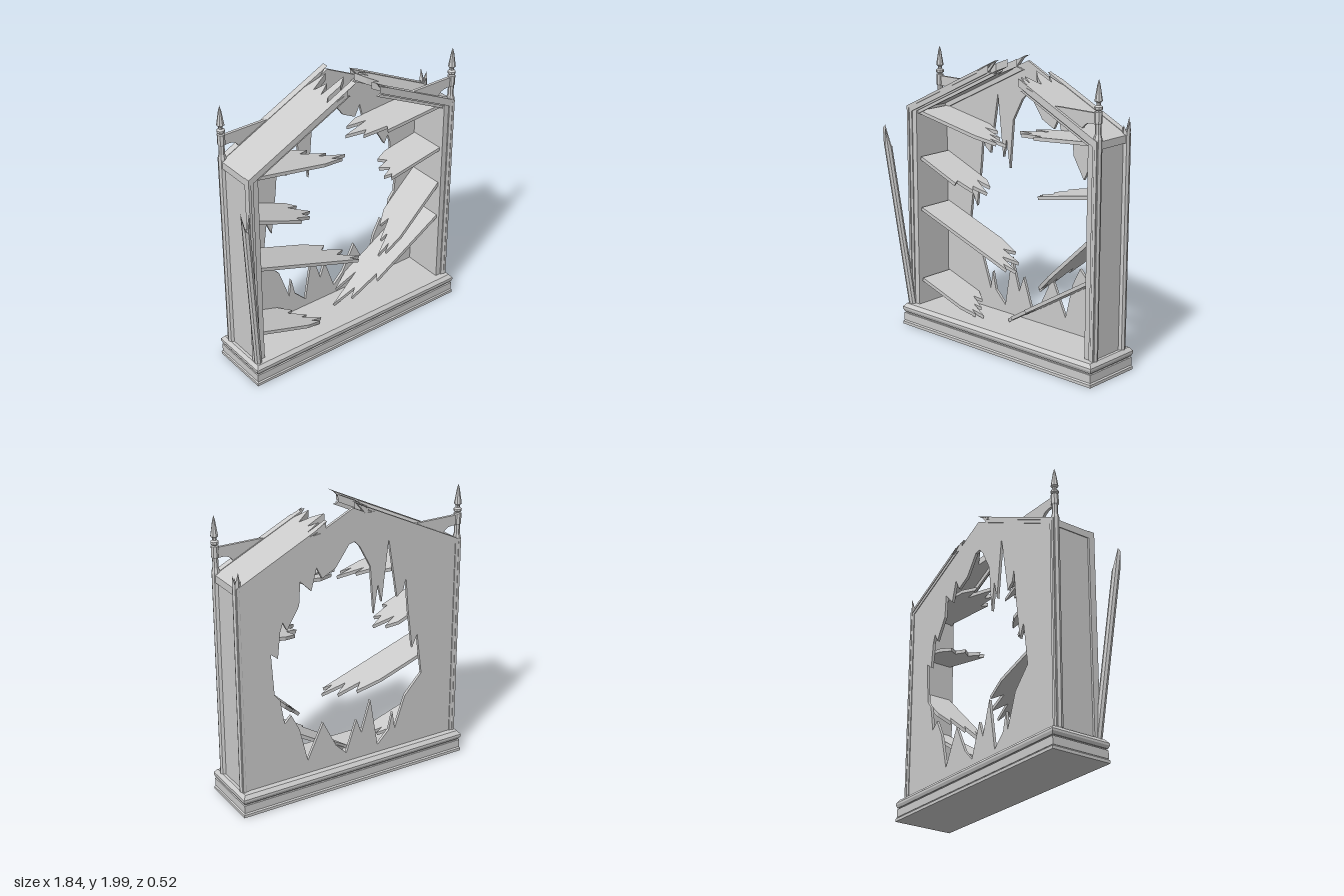
import * as THREE from 'three';

const material = new THREE.MeshStandardMaterial({ color: 0xcccccc, flatShading: true, side: THREE.DoubleSide });
const FLOOR = 0.155, HALF = 0.84, SLOPE = 0.485, BACK = -0.21, FRONT = 0.13;
const roofY = (x, inset = 0) => 1.995 - 1.11 * inset - SLOPE * Math.abs(x);

function add(parent, name, geometry, x = 0, y = 0, z = 0) {
  const mesh = new THREE.Mesh(geometry, material);
  mesh.name = name;
  mesh.position.set(x, y, z);
  parent.add(mesh);
  return mesh;
}

const toShape = pts => new THREE.Shape(pts.map(([x, y]) => new THREE.Vector2(x, y)));

// Upright slab drawn in the front plane, from z0 to z1
function slab(shape, z0, z1) {
  const g = new THREE.ExtrudeGeometry(shape, { depth: z1 - z0, bevelEnabled: false, curveSegments: 6 });
  return g.translate(0, 0, z0);
}

// Flat board drawn as [x, z], thickness measured down from y = 0
function board(pts, thickness) {
  const g = new THREE.ExtrudeGeometry(toShape(pts), { depth: thickness, bevelEnabled: false });
  return g.rotateX(Math.PI / 2);
}

// Box whose top and bottom rectangles are inset separately
function tier(y0, y1, in0, in1) {
  const g = new THREE.BoxGeometry(2, 1, 2), p = g.attributes.position;
  for (let i = 0; i < p.count; i++) {
    const top = p.getY(i) > 0, d = top ? in1 : in0;
    p.setXYZ(i, p.getX(i) * (0.865 - d), top ? y1 : y0, p.getZ(i) * (0.22 - d));
  }
  return g;
}

// Round post with a splintered top
function brokenPost(radius, height, jag) {
  const g = new THREE.CylinderGeometry(radius, radius, height, 8, 1), p = g.attributes.position;
  g.translate(0, height / 2, 0);
  for (let i = 0; i < p.count; i++) {
    if (p.getY(i) < height / 2) continue;
    const x = p.getX(i), z = p.getZ(i);
    const k = Math.round(Math.atan2(z, x) / (Math.PI / 4) + 8) % 8;
    p.setY(i, height + (Math.hypot(x, z) < 0.001 ? 0.01 : jag[k]));
  }
  return g;
}

export function createModel() {
  const root = new THREE.Group();
  root.name = 'brokenCabinet';
  const body = new THREE.Group();
  body.name = 'cabinet';
  body.position.x = 0.05;
  root.add(body);

  // Stepped plinth
  const base = new THREE.Group();
  base.name = 'base';
  base.position.z = -0.04;
  body.add(base);
  [[0, 0.02, 0, 0], [0.02, 0.03, 0, 0.012], [0.03, 0.085, 0.006, 0.006], [0.085, 0.095, 0.018, 0.018],
    [0.095, 0.115, 0.008, 0], [0.115, 0.13, 0, 0], [0.13, FLOOR, 0, 0.02]]
    .forEach(t => add(base, 'baseTier', tier(...t)));

  // Back panel with a splintered hole
  const apex = roofY(0, 0.035), eave = roofY(0.81, 0.035);
  const panel = toShape([[-0.81, FLOOR], [0.81, FLOOR], [0.81, eave], [0, apex], [-0.81, eave]]);
  const hole = [[0.04, 1.73], [0, 1.69], [-0.08, 1.54], [-0.11, 1.2], [-0.14, 1.4], [-0.17, 1.27], [-0.22, 1.7],
    [-0.29, 1.28], [-0.34, 1.32], [-0.36, 1.4], [-0.38, 1.18], [-0.42, 0.88], [-0.46, 0.97], [-0.5, 0.67], [-0.37, 0.53],
    [-0.29, 0.3], [-0.27, 0.43], [-0.24, 0.3], [-0.15, 0.21], [-0.09, 0.57], [-0.02, 0.34], [0.02, 0.45], [0.1, 0.22],
    [0.18, 0.3], [0.28, 0.5], [0.4, 0.25], [0.46, 0.5], [0.52, 0.62], [0.57, 0.57], [0.6, 0.75], [0.64, 0.8], [0.66, 1.09],
    [0.61, 1.05], [0.59, 1.23], [0.57, 1.29], [0.54, 1.23], [0.45, 1.38], [0.44, 1.54], [0.36, 1.46], [0.32, 1.61],
    [0.28, 1.53], [0.18, 1.58], [0.08, 1.72]];
  panel.holes.push(new THREE.Path(hole.map(([x, y]) => new THREE.Vector2(x - 0.05, y))));
  add(body, 'backPanel', slab(panel, -0.2, -0.18));

  // Roof ends as [x, z] from back to front
  const roofEnds = {
    '-1': [[-0.08, -0.2], [-0.19, -0.165], [-0.05, -0.13], [-0.18, -0.09], [-0.1, -0.05], [-0.18, -0.01], [-0.01, 0.005],
      [-0.07, 0.05], [-0.17, 0.05], [-0.2, 0.08], [-0.07, 0.125]],
    '1': [[0.2, -0.2], [0.32, -0.16], [0.22, -0.14], [0.28, -0.1], [0.15, -0.095], [0.21, -0.04], [0.28, 0],
      [0.18, 0.05], [0.28, 0.09], [0.19, 0.125]],
  };

  for (const s of [-1, 1]) {
    const side = s > 0 ? 'left' : 'right';

    // Side wall
    add(body, side + 'Wall', new THREE.BoxGeometry(0.065, 1.42, 0.31), s * 0.7925, FLOOR + 0.71, -0.04);

    // Sloping roof board, sheared to the pitch
    const roof = board([...roofEnds[s], [s * HALF, 0.125], [s * HALF, -0.2]], 0.05), p = roof.attributes.position;
    for (let i = 0; i < p.count; i++) p.setY(i, p.getY(i) + roofY(p.getX(i)) - 0.004);
    roof.computeVertexNormals();
    add(body, side + 'Roof', roof);

    // Nested mouldings running up the jambs and along the gable, front and back
    const tip = s > 0 ? 0.17 : -0.01;
    const bands = [[0.08, 0.085, 0.1, -0.195], [0.06, 0.085, 0.112, -0.2], [0.04, 0.085, 0.122, -0.205], [0.018, 0.085, FRONT, BACK]];
    bands.forEach(([inset, zIn, zFront, zBack], i) => {
      const end = tip + s * (0.02 + 0.025 * i), notch = end + s * 0.06, x = s * (HALF - inset);
      const o = i === 3 && s < 0 ? -0.01 : end;
      const shape = toShape([[s * HALF, FLOOR], [s * HALF, roofY(HALF)], [o, roofY(o)],
        [notch, roofY(notch, inset * 0.5)], [end, roofY(end, inset)], [x, roofY(x, inset)], [x, FLOOR]]);
      add(body, side + 'FrontMoulding', slab(shape, zIn, zFront));
      add(body, side + 'BackMoulding', slab(shape, zBack, -0.165));
    });

    // Bracket rail between finial and roof
    const rail = new THREE.Shape();
    rail.moveTo(s * 0.83, 1.76);
    rail.lineTo(s * 0.83, 1.685);
    rail.quadraticCurveTo(s * 0.73, 1.71, s * 0.7, 1.64);
    rail.lineTo(s * 0.5, 1.73);
    rail.lineTo(s * 0.485, 1.76);
    const railZ = s > 0 ? 0.1 : -0.18;
    add(body, side + 'Rail', slab(rail, railZ - 0.01, railZ + 0.01));

    // Turned corner post with finial
    const profile = [[0.028, FLOOR], [0.028, 1.6], [0.02, 1.63], [0.02, 1.69], [0.026, 1.7], [0.026, 1.77], [0.016, 1.775],
      [0.027, 1.785], [0.027, 1.8], [0.014, 1.81], [0.014, 1.825], [0.026, 1.835], [0.022, 1.86], [0.01, 1.935], [0, 1.97]];
    const turned = new THREE.LatheGeometry(profile.map(([r, y]) => new THREE.Vector2(r, y)), 8);
    add(body, side + 'FinialPost', turned, s * 0.825, 0, railZ);
  }

  // Snapped back post and the fallen front post leaning on the corner
  add(body, 'snappedPost', brokenPost(0.028, 1.42, [0.1, 0.03, 0.07, 0, 0.05, 0.02, 0.12, 0.04]), 0.825, FLOOR, -0.18);
  const leaning = add(root, 'leaningPost', brokenPost(0.027, 1.14, [0.02, 0.17, 0.03, 0.05, 0.15, 0.17, 0.03, 0.02]), -0.77, 0.15, 0.125);
  leaning.quaternion.setFromUnitVectors(new THREE.Vector3(0, 1, 0), new THREE.Vector3(-0.128, 1.3, 0.112).normalize());

  // Collapsed shelves: wall point, broken tip, and splinter ends as [length fraction, z]
  const ends = [
    [[0.55, -0.175], [0.72, -0.12], [0.6, -0.09], [0.85, -0.04], [0.74, -0.02], [1, 0.02], [0.82, 0.04], [0.93, 0.06], [0.7, 0.09]],
    [[0.75, -0.175], [0.9, -0.13], [0.7, -0.1], [1, -0.05], [0.8, -0.01], [0.88, 0.03], [0.62, 0.05], [0.66, 0.09]],
    [[0.6, -0.175], [0.8, -0.14], [0.72, -0.08], [0.92, -0.06], [0.8, 0], [1, 0.04], [0.88, 0.06], [0.95, 0.09]],
  ];
  const shelves = [
    [-0.69, 1.545, 0.04, 1.41], [-0.69, 1.22, -0.2, 1.025], [-0.69, 0.855, 0.15, 0.565], [-0.69, 0.335, -0.17, 0.165],
    [0.81, 1.555, 0.1, 1.5], [0.81, 1.215, 0.36, 1.13], [0.81, 0.93, 0.34, 0.48], [0.81, 0.66, 0, 0.165],
  ];
  shelves.forEach(([x0, y0, x1, y1], i) => {
    const length = Math.hypot(x1 - x0, y1 - y0);
    const pts = [[-0.01, 0.09], [-0.01, -0.175], ...ends[i % 3].map(([f, z]) => [f * length, z])];
    const shelf = add(root, 'brokenShelf', board(pts, 0.024).translate(0, 0.012, 0), x0, y0, 0);
    shelf.rotation.z = Math.atan2(y1 - y0, x1 - x0);
  });

  return root;
}
